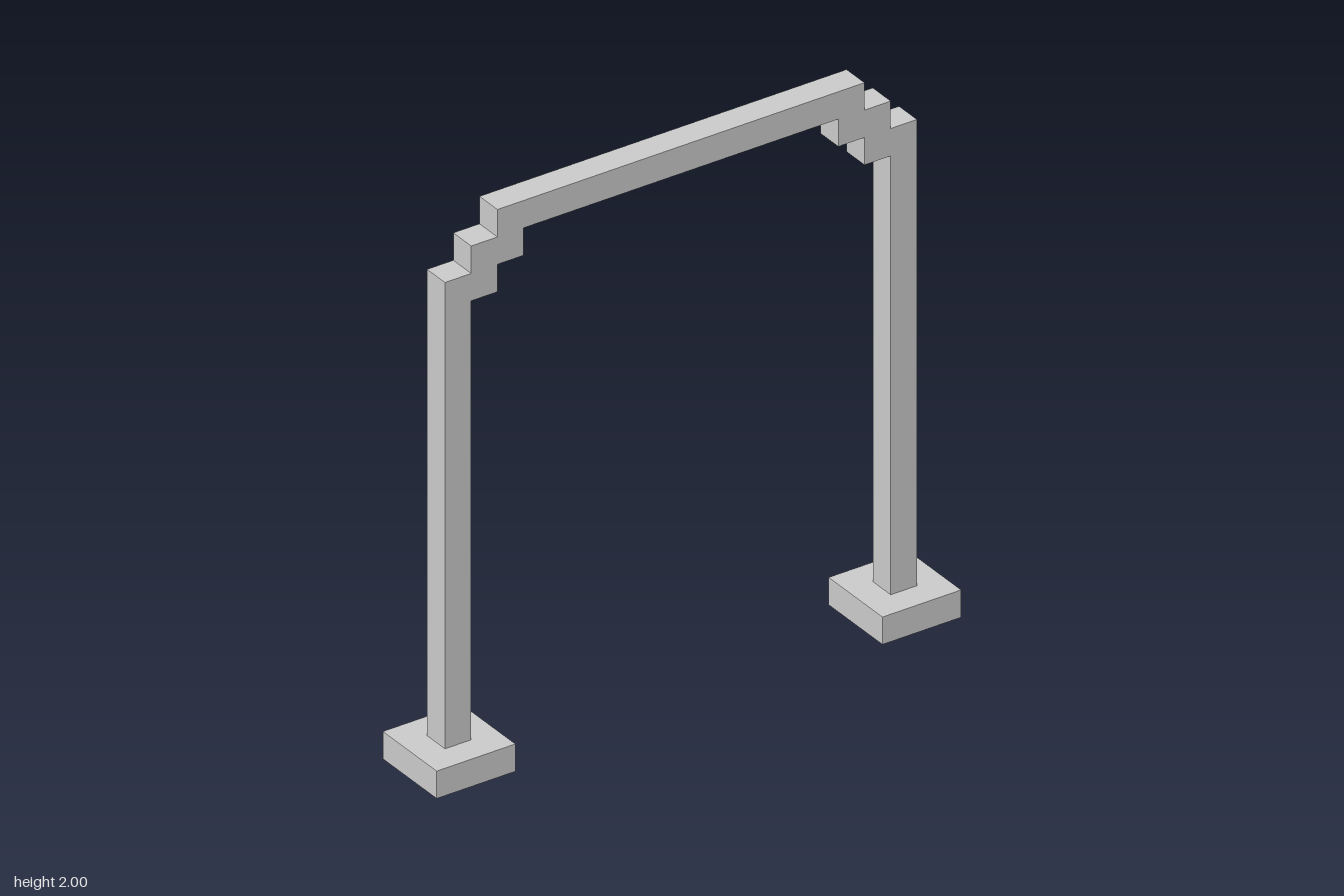
import * as THREE from 'three';

const material = new THREE.MeshStandardMaterial({ color: 0xcccccc, flatShading: true });

export function createModel() {
  const group = new THREE.Group();
  group.name = 'steppedArch';

  // Stepped arch: right half of the outline, from the outer foot over the top
  // and back down the inside, mirrored into a full closed profile.
  const outer = [[0.9, 0.1], [0.9, 1.8], [0.8, 1.8], [0.8, 1.9], [0.7, 1.9], [0.7, 2]];
  const inner = [[0.6, 1.9], [0.6, 1.8], [0.7, 1.8], [0.7, 1.7], [0.8, 1.7], [0.8, 0.1]];
  const mirror = (pts) => pts.map(([x, y]) => [-x, y]).reverse();
  const outline = [...outer, ...mirror(outer), ...mirror(inner), ...inner];
  const shape = new THREE.Shape(outline.map(([x, y]) => new THREE.Vector2(x, y)));
  const depth = 0.1;
  const archGeometry = new THREE.ExtrudeGeometry(shape, { depth, bevelEnabled: false });
  archGeometry.translate(0, 0, -depth / 2);
  const arch = new THREE.Mesh(archGeometry, material);
  arch.name = 'archFrame';
  group.add(arch);

  // Square foot under each post
  for (const [name, side] of [['leftFoot', 1], ['rightFoot', -1]]) {
    const foot = new THREE.Mesh(new THREE.BoxGeometry(0.3, 0.1, 0.3), material);
    foot.name = name;
    foot.position.set(side * 0.85, 0.05, 0);
    group.add(foot);
  }

  return group;
}
